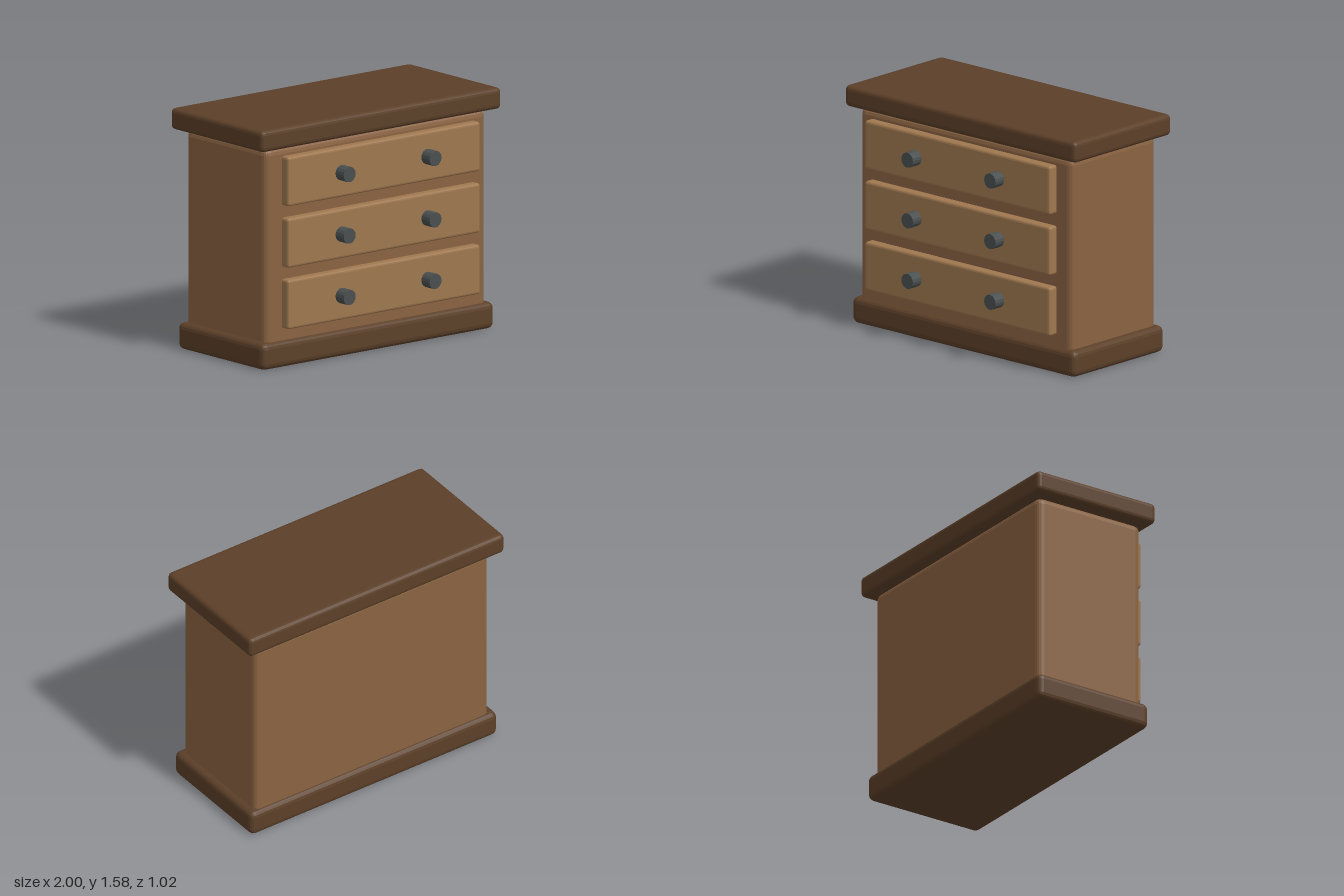
import * as THREE from 'three';
import { RoundedBoxGeometry } from 'three/addons/geometries/RoundedBoxGeometry.js';

const material = (color) => new THREE.MeshStandardMaterial({ color, flatShading: true });
const darkWood = material(0x5c4029);
const bodyWood = material(0x8a6342);
const drawerWood = material(0x9f7850);
const knobMetal = material(0x4a4f50);

// Softly bevelled block centred on x, given by its y and z limits
function block(name, width, [y0, y1], [z0, z1], bevel, mat) {
  const mesh = new THREE.Mesh(new RoundedBoxGeometry(width, y1 - y0, z1 - z0, 2, bevel), mat);
  mesh.name = name;
  mesh.position.set(0, (y0 + y1) / 2, (z0 + z1) / 2);
  return mesh;
}

export function createModel() {
  const chest = new THREE.Group();
  chest.name = 'chestOfDrawers';

  // Carcass between an overhanging plinth and top
  chest.add(
    block('plinth', 1.934, [0, 0.175], [-0.48, 0.38], 0.04, darkWood),
    block('carcass', 1.84, [0.01, 1.44], [-0.45, 0.35], 0.045, bodyWood),
    block('topBoard', 2, [1.44, 1.58], [-0.51, 0.41], 0.03, darkWood),
  );

  // Three drawer fronts, each with a pair of round knobs
  const knobGeometry = new THREE.CylinderGeometry(0.05, 0.05, 0.083, 16).rotateX(Math.PI / 2);
  for (let i = 0; i < 3; i++) {
    const y = 0.42 + i * 0.403;
    const drawer = new THREE.Group();
    drawer.name = `drawer${i + 1}`;
    drawer.add(block('drawerFront', 1.606, [y - 0.162, y + 0.162], [0.357, 0.432], 0.018, drawerWood));
    for (const side of [-1, 1]) {
      const knob = new THREE.Mesh(knobGeometry, knobMetal);
      knob.name = side > 0 ? 'leftKnob' : 'rightKnob';
      knob.position.set(side * 0.358, y, 0.472);
      drawer.add(knob);
    }
    chest.add(drawer);
  }
  return chest;
}
